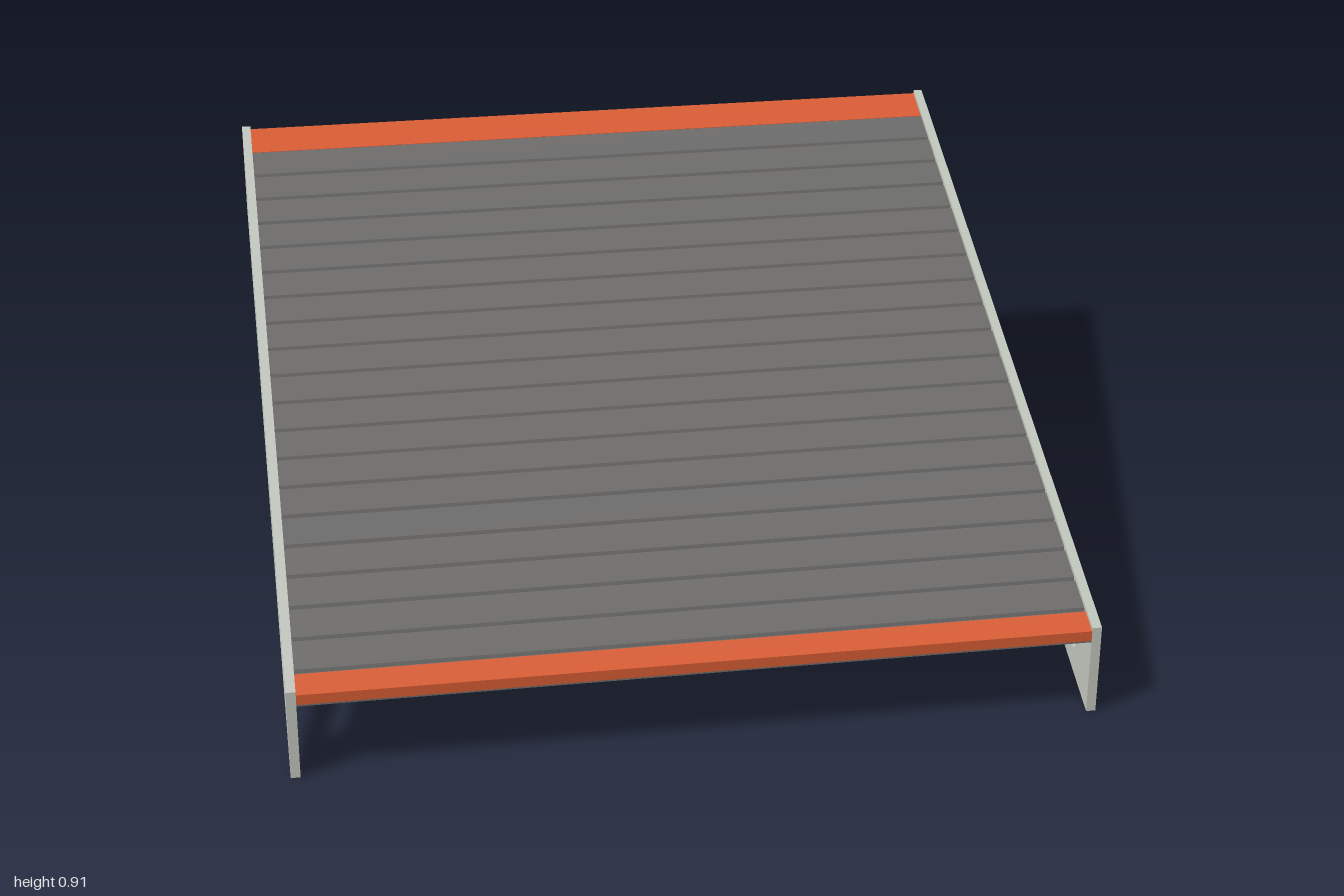
import * as THREE from 'three';

const SLOPE = 0.335;
// Height gained at horizontal distance u = -z along the incline
const rise = (u) => SLOPE * (u + 1);

// Points are [u, height above the incline line]
const slopedPoints = (pts) => pts.map(([u, v]) => new THREE.Vector2(u, v + rise(u)));

// Extrude a side profile across x, centred on x = 0
function extrudeAcross(shape, width) {
  const geo = new THREE.ExtrudeGeometry(shape, { depth: width, bevelEnabled: false });
  geo.translate(0, 0, -width / 2);
  geo.rotateY(Math.PI / 2);
  return geo;
}

// Rounded slot outline that follows the incline
function slot(cu, cv, halfLength, halfHeight, r) {
  const pts = [];
  const corners = [[1, 1], [-1, 1], [-1, -1], [1, -1]];
  corners.forEach(([su, sv], k) => {
    for (let i = 0; i <= 6; i++) {
      const a = (k + i / 6) * Math.PI / 2;
      pts.push([
        cu + su * (halfLength - r) + r * Math.cos(a),
        cv + sv * (halfHeight - r) + r * Math.sin(a),
      ]);
    }
  });
  return new THREE.Path(slopedPoints(pts));
}

export function createModel() {
  const group = new THREE.Group();
  const material = (name, color) => {
    const m = new THREE.MeshStandardMaterial({ color });
    m.name = name;
    return m;
  };
  const panelGrey = material('pale grey', 0xbfc4bb);
  const deckGrey = material('dark grey', 0x6b6a69);
  const orange = material('orange', 0xd65b33);

  const add = (name, geo, mat, x = 0) => {
    const mesh = new THREE.Mesh(geo, mat);
    mesh.name = name;
    mesh.position.x = x;
    group.add(mesh);
  };

  // Side panels with three slots each
  const panel = new THREE.Shape(slopedPoints([[-1, 0], [1, 0], [1, 0.24], [-1, 0.24]]));
  [[-0.655, 0.226], [0.015, 0.234], [0.688, 0.226]].forEach(([u, half]) => {
    panel.holes.push(slot(u, 0.099, half, 0.05, 0.045));
  });
  const panelGeo = extrudeAcross(panel, 0.024);
  add('leftSidePanel', panelGeo, panelGrey, 0.988);
  add('rightSidePanel', panelGeo, panelGrey, -0.988);

  // Deck with narrow grooves between slats, recessed beneath both end strips
  const bottom = 0.2, seat = 0.204, top = 0.23;
  const start = -0.938, end = 0.9, slats = 19;
  const first = -0.93, pitch = (end - first) / slats;
  const profile = [[-1, bottom], [1, bottom], [1, seat], [end, seat], [end, top]];
  for (let i = slats - 1; i >= 0; i--) {
    const u = first + i * pitch;
    profile.push([u + 0.006, top], [u + 0.003, top - 0.008], [u - 0.003, top - 0.008], [u - 0.006, top]);
  }
  profile.push([start, top], [start, seat], [-1, seat]);
  const width = 1.952;
  add('slattedDeck', extrudeAcross(new THREE.Shape(slopedPoints(profile)), width), deckGrey);

  // End strips
  const strip = (name, u0, u1) => {
    const shape = new THREE.Shape(slopedPoints([[u0, seat], [u1, seat], [u1, top + 0.001], [u0, top + 0.001]]));
    add(name, extrudeAcross(shape, width), orange);
  };
  strip('frontEdgeStrip', -1, start);
  strip('backEdgeStrip', end, 1);

  return group;
}
